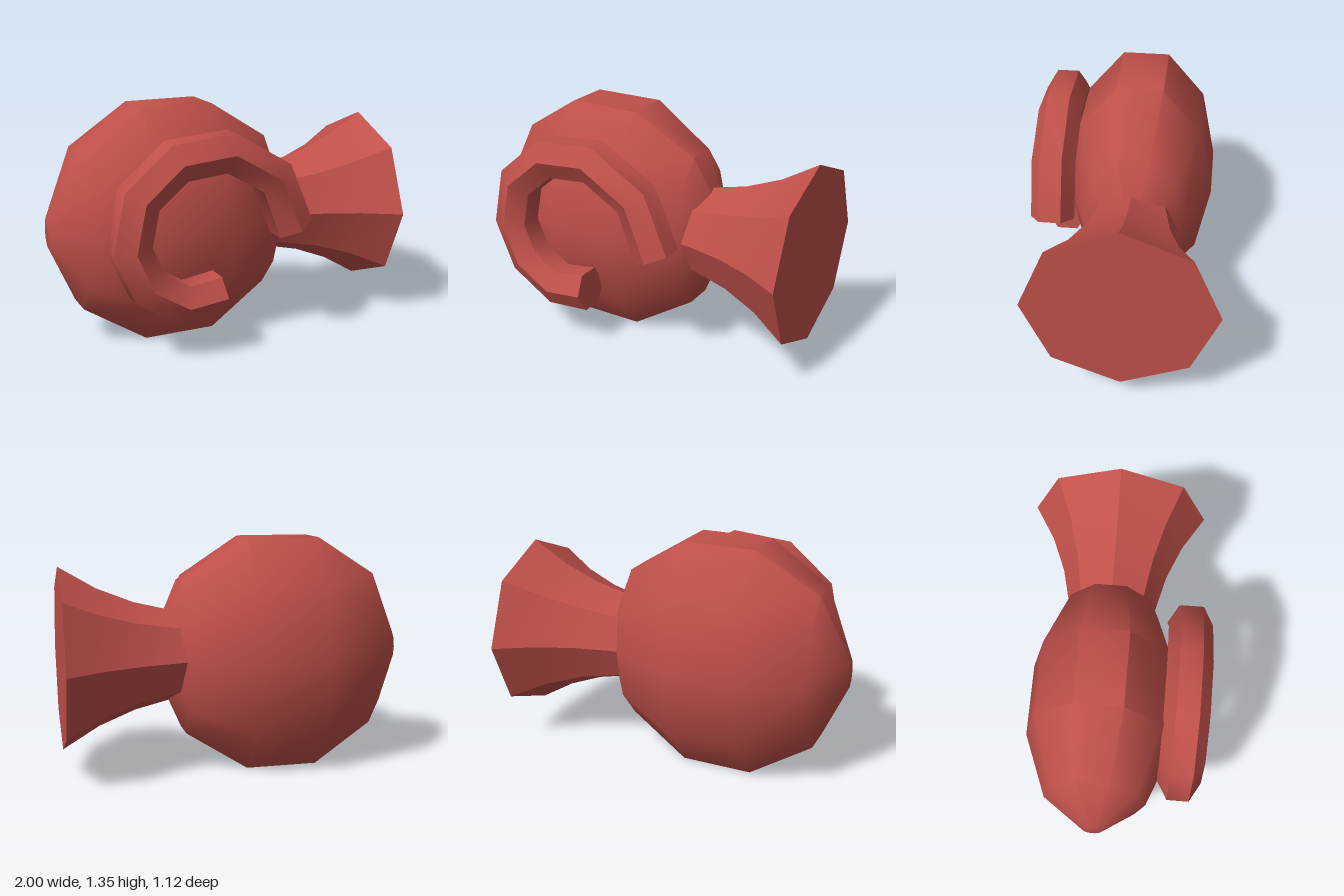
import * as THREE from 'three';
import { toCreasedNormals } from 'three/addons/utils/BufferGeometryUtils.js';

const V = (x, y, z) => new THREE.Vector3(x, y, z);

// Elliptical polygon cross-section spanned by the half-axes u and v
function section(centre, u, v, sides, phase) {
  return Array.from({ length: sides }, (_, k) => {
    const t = phase + (k / sides) * Math.PI * 2;
    return centre.clone().addScaledVector(u, Math.cos(t)).addScaledVector(v, Math.sin(t));
  });
}

// Skin over a row of cross-sections, closed with flat caps
function loft(sections, crease) {
  const n = sections[0].length;
  const last = sections.length - 1;
  const pos = [];
  const tri = (...pts) => pts.forEach((p) => pos.push(p.x, p.y, p.z));
  const middle = (s) => s.reduce((m, p) => m.add(p), V(0, 0, 0)).divideScalar(n);
  const c0 = middle(sections[0]);
  const c1 = middle(sections[last]);
  for (let j = 0; j < n; j++) {
    const k = (j + 1) % n;
    for (let i = 0; i < last; i++) {
      const a = sections[i], b = sections[i + 1];
      tri(a[j], a[k], b[j]);
      tri(a[k], b[k], b[j]);
    }
    tri(c0, sections[0][k], sections[0][j]);
    tri(c1, sections[last][j], sections[last][k]);
  }
  const g = new THREE.BufferGeometry();
  g.setAttribute('position', new THREE.Float32BufferAttribute(pos, 3));
  return toCreasedNormals(g, crease);
}

export function createModel() {
  const group = new THREE.Group();
  const red = new THREE.MeshStandardMaterial({ color: 0xc0504a });
  red.name = 'brick red';
  const add = (name, geometry) => {
    const mesh = new THREE.Mesh(geometry, red);
    mesh.name = name;
    group.add(mesh);
  };
  const Y = 0.675, Z = -0.033;

  // Squashed ten-sided ball: x offset and relative radius
  const profile = [[-0.73, 0.13], [-0.565, 0.672], [-0.21, 1], [0.21, 1], [0.565, 0.672], [0.73, 0.13]];
  add('body', loft(profile.map(([x, r]) =>
    section(V(x - 0.27, Y, Z), V(0, 0.71 * r, 0), V(0, 0, 0.427 * r), 10, Math.PI / 10)), 0.8));

  // Flared eight-sided neck on the model's left
  const flare = [[0.2, 0.25], [0.36, 0.262], [0.58, 0.315], [0.79, 0.4], [1, 0.526]];
  add('flaredNeck', loft(flare.map(([x, r]) =>
    section(V(x, Y, Z), V(0, r, 0), V(0, 0, r), 8, 0)), 0.6));

  // Curled six-sided bar on the front
  const path = [[0.28, 0.68], [0.155, 0.985], [-0.12, 1.148], [-0.415, 1.122], [-0.63, 0.94],
    [-0.685, 0.675], [-0.59, 0.455], [-0.39, 0.33], [-0.165, 0.355]].map(([x, y]) => V(x, y, 0.433));
  add('curledBar', loft(path.map((p, i) => {
    const t = path[Math.min(i + 1, path.length - 1)].clone().sub(path[Math.max(i - 1, 0)]).normalize();
    return section(p, V(-t.y, t.x, 0).multiplyScalar(0.125), V(0, 0, 0.125), 6, Math.PI / 6);
  }), 0.8));

  return group;
}
